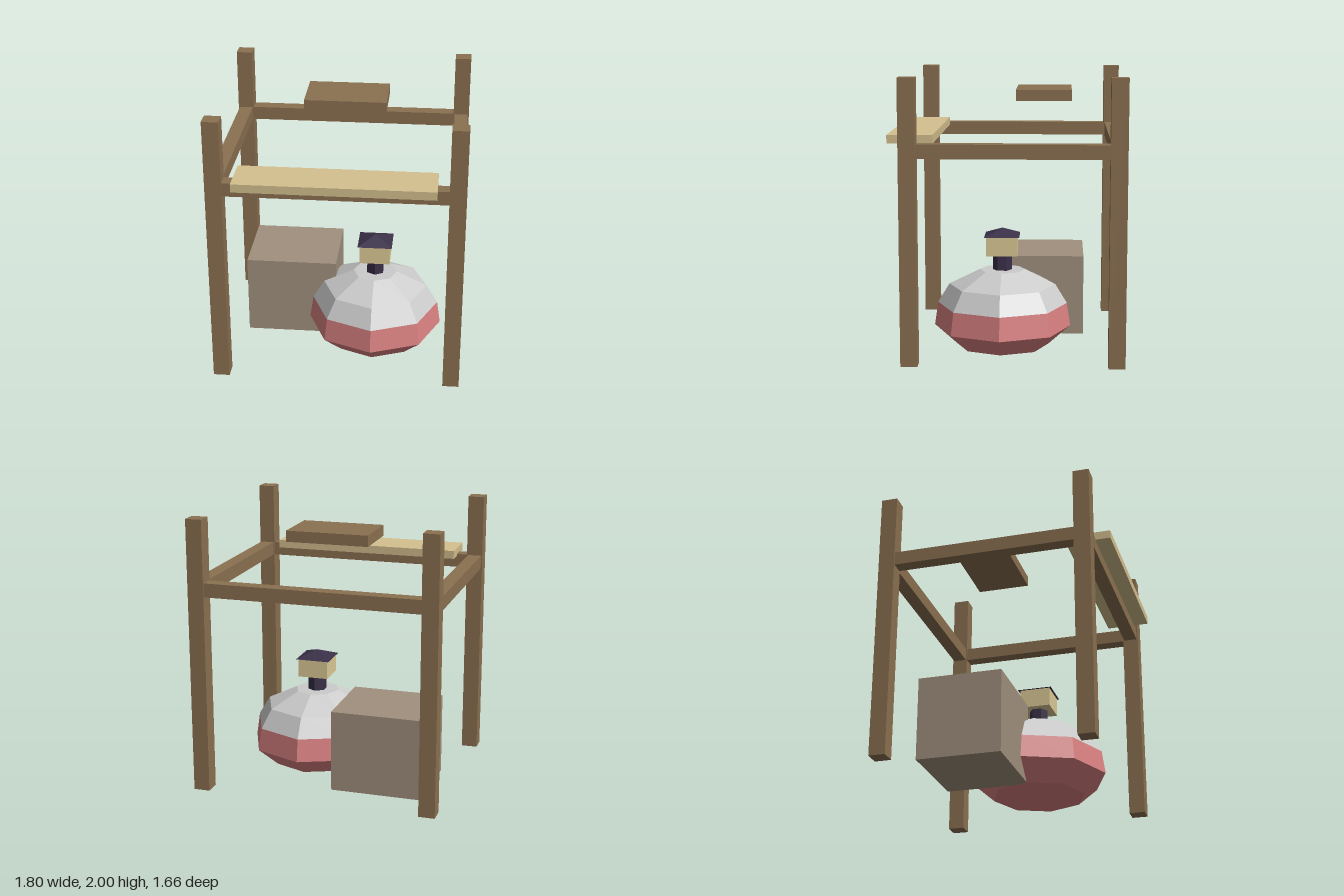
import * as THREE from 'three';

const material = (color) => new THREE.MeshStandardMaterial({ color, flatShading: true });

export function createModel() {
  const model = new THREE.Group();
  const wood = material(0x8b7051);
  const pale = material(0xd4c08f);
  const cream = material(0xdccb96);
  const stone = material(0xa0907d);
  const red = material(0xd98080);
  const grey = material(0xcccccc);
  const dark = material(0x3a3048);

  const add = (parent, name, geometry, mat, x, y, z) => {
    const mesh = new THREE.Mesh(geometry, mat);
    mesh.name = name;
    mesh.position.set(x, y, z);
    parent.add(mesh);
    return mesh;
  };
  const box = (parent, name, mat, [w, h, d], [x, y, z]) =>
    add(parent, name, new THREE.BoxGeometry(w, h, d), mat, x, y, z);

  // Timber frame: four posts joined by four rails
  const frame = new THREE.Group();
  frame.name = 'frame';
  model.add(frame);
  const postX = 0.84, frontZ = 0.67, backZ = -0.77, post = 0.118, rail = 0.1;
  const midZ = (frontZ + backZ) / 2;
  for (const side of [-1, 1]) {
    for (const z of [frontZ, backZ]) {
      box(frame, 'post', wood, [post, 2, post], [side * postX, 1, z]);
    }
    box(frame, 'sideRail', wood, [rail, rail, frontZ - backZ - post], [side * postX, 1.5, midZ]);
  }
  for (const z of [frontZ, backZ]) {
    box(frame, 'crossRail', wood, [2 * postX - post, rail, rail], [0, 1.5, z]);
  }

  // Boards and block
  box(model, 'counterBoard', pale, [1.4, 0.06, 0.32], [0, 1.565, 0.67]);
  box(model, 'hangingBoard', wood, [0.6, 0.08, 0.4], [0, 1.84, -0.25]);
  box(model, 'block', stone, [0.68, 0.6, 0.6], [-0.4, 0.3, -0.25]);

  // Eight-sided vessel, red below and grey above
  const vessel = new THREE.Group();
  vessel.name = 'vessel';
  vessel.position.set(0.24, 0, 0.05);
  model.add(vessel);
  const lathe = (points) =>
    new THREE.LatheGeometry(points.map(([r, y]) => new THREE.Vector2(r, y)), 8);
  add(vessel, 'vesselBase', lathe([[0, 0], [0.34, 0], [0.5, 0.14], [0.475, 0.31]]), red, 0, 0, 0);
  add(vessel, 'vesselTop', lathe([[0.475, 0.31], [0.39, 0.45], [0.165, 0.56], [0, 0.56]]), grey, 0, 0, 0);

  // Lantern-shaped finial: six-sided neck, box and pyramid roof
  add(vessel, 'neck', new THREE.CylinderGeometry(0.069, 0.069, 0.12, 6), dark, 0, 0.62, 0);
  box(vessel, 'lanternBox', cream, [0.225, 0.138, 0.225], [0, 0.746, 0]);
  const roof = add(vessel, 'lanternRoof', new THREE.ConeGeometry(0.18, 0.055, 4), dark, 0, 0.8425, 0);
  roof.rotation.y = Math.PI / 4;

  return model;
}
